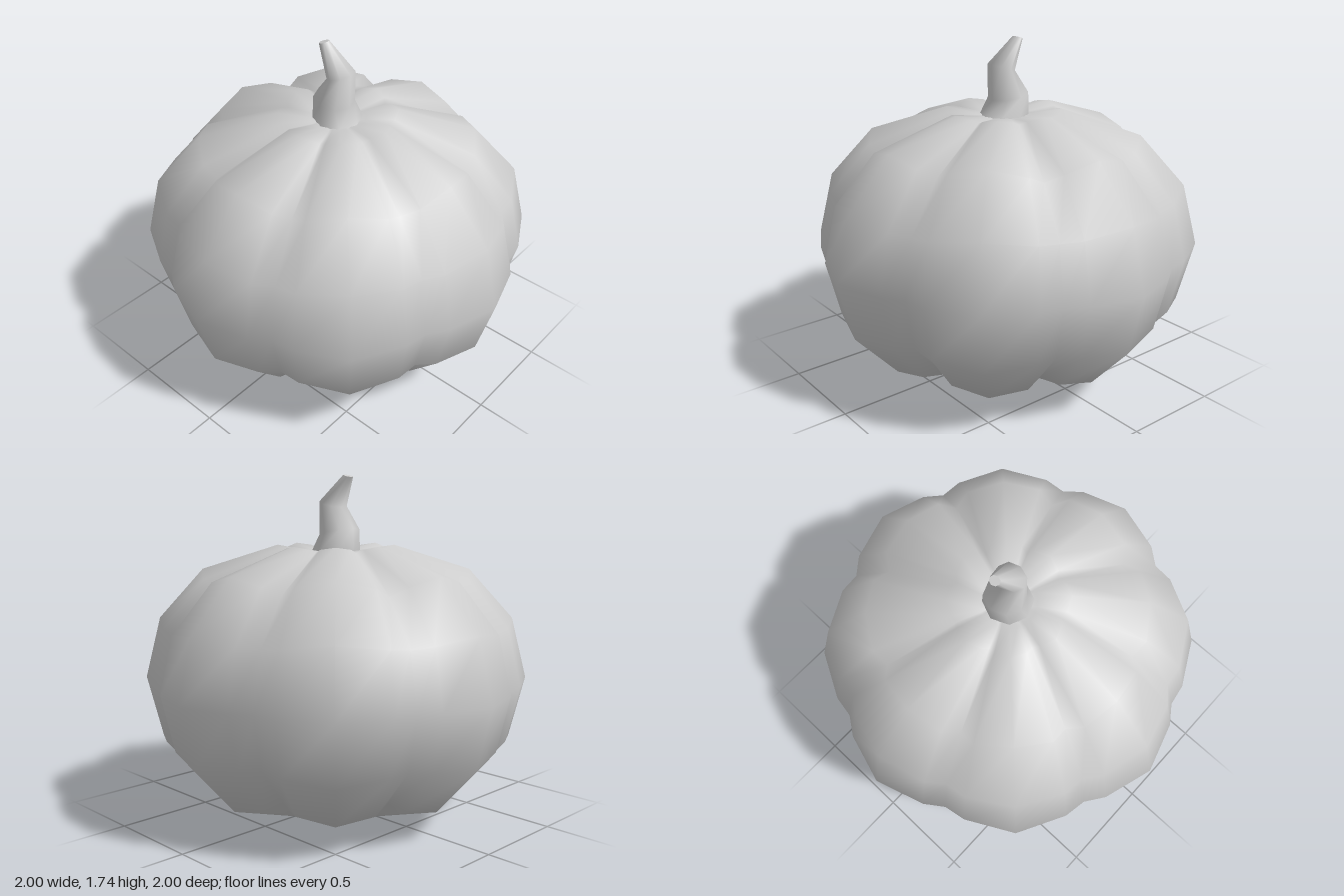
import * as THREE from 'three';

// Skin stacked closed rings (bottom to top) of n points each; at(ring, k) returns [x, y, z]
function loft(rings, n, at) {
  const pos = [], idx = [];
  for (let i = 0; i < rings; i++) for (let k = 0; k < n; k++) pos.push(...at(i, k));
  for (let i = 0; i < rings - 1; i++) {
    for (let k = 0; k < n; k++) {
      const a = i * n + k, b = i * n + (k + 1) % n;
      idx.push(a, b, b + n, a, b + n, a + n);
    }
  }
  const geo = new THREE.BufferGeometry();
  geo.setAttribute('position', new THREE.Float32BufferAttribute(pos, 3));
  geo.setIndex(idx);
  geo.computeVertexNormals();
  return geo;
}

export function createModel() {
  const group = new THREE.Group();
  const grey = new THREE.MeshStandardMaterial({ color: 0xcccccc });
  grey.name = 'light grey';

  // Half profiles [radius, height from the middle]: crest, flank and groove of a lobe
  const crest = [[1, 0], [0.92, 0.315], [0.69, 0.57], [0.3, 0.694], [0.14, 0.665], [0, 0.66]];
  const flank = [[0.957, 0], [0.89, 0.287], [0.685, 0.53], [0.28, 0.682], [0.14, 0.665], [0, 0.66]];
  const groove = [[0.925, 0], [0.855, 0.275], [0.64, 0.49], [0.26, 0.665], [0.14, 0.66], [0, 0.66]];
  const sections = [crest, flank, groove, flank];
  const offsets = [0, 15.7, 22.5, 29.3]; // degrees within one lobe

  // Eight-lobed body
  const body = new THREE.Mesh(loft(11, 32, (i, k) => {
    const [r, h] = sections[k % 4][Math.abs(i - 5)];
    const t = THREE.MathUtils.degToRad(Math.floor(k / 4) * 45 + offsets[k % 4]);
    return [r * Math.sin(t), 0.69 + Math.sign(i - 5) * h, r * Math.cos(t)];
  }), grey);
  body.name = 'body';
  group.add(body);

  // Bent stem rings: [half width x, front z, front y, back z, back y]
  const stemRings = [
    [0.125, 0.125, 1.35, -0.125, 1.35],
    [0.105, 0.075, 1.43, -0.125, 1.47],
    [0.08, 0.08, 1.61, -0.04, 1.575],
    [0.028, -0.065, 1.738, -0.11, 1.725],
  ];
  const stemPoint = ([w, zf, yf, zb, yb], k) => {
    const t = k * Math.PI / 4, c = (1 + Math.cos(t)) / 2;
    return [w * Math.sin(t), yb + (yf - yb) * c, zb + (zf - zb) * c];
  };
  const stem = new THREE.Mesh(loft(4, 8, (i, k) => stemPoint(stemRings[i], k)), grey);
  stem.name = 'stem';
  group.add(stem);

  // Cut end of the stem
  const tip = stemRings[3];
  const cut = new THREE.Mesh(loft(2, 8, (i, k) =>
    i === 0 ? stemPoint(tip, k) : [0, (tip[2] + tip[4]) / 2, (tip[1] + tip[3]) / 2]), grey);
  cut.name = 'stemTip';
  group.add(cut);

  return group;
}
